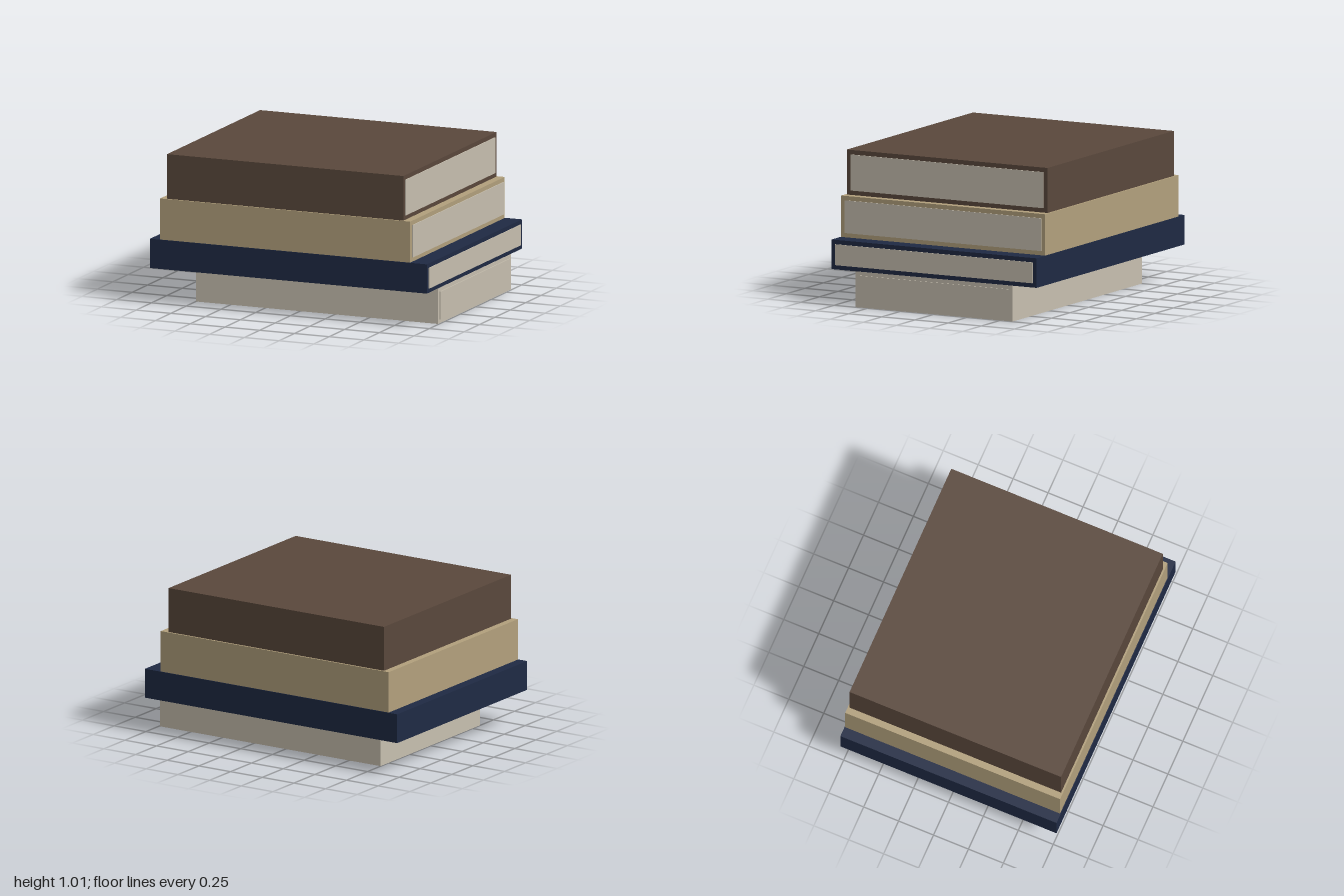
import * as THREE from 'three';

const mat = (name, color) => {
  const m = new THREE.MeshStandardMaterial({ color });
  m.name = name;
  return m;
};

export function createModel() {
  const cream = mat('cream', 0xc8c0b0);
  const navy = mat('navy', 0x1f2a44);
  const tan = mat('tan', 0xb3a17d);
  const brown = mat('brown', 0x5a483c);

  // box from its bounds; depth is centred on z = 0
  const box = (name, material, x0, x1, y0, y1, depth) => {
    const mesh = new THREE.Mesh(new THREE.BoxGeometry(x1 - x0, y1 - y0, depth), material);
    mesh.position.set((x0 + x1) / 2, (y0 + y1) / 2, 0);
    mesh.name = name;
    return mesh;
  };

  // books from bottom to top: cover, left end, right end, bottom, top, depth, border
  const books = [
    ['bottomBook', cream, -0.749, 0.993, 0, 0.239, 1.186, 0.026],
    ['navyBook', navy, -1, 0.992, 0.239, 0.436, 1.547, 0.029],
    ['tanBook', tan, -0.93, 0.87, 0.436, 0.712, 1.538, 0.029],
    ['topBook', brown, -0.885, 0.816, 0.712, 1.012, 1.514, 0.03],
  ];

  const stack = new THREE.Group();
  stack.name = 'bookStack';
  for (const [name, cover, x0, x1, y0, y1, depth, border] of books) {
    const book = new THREE.Group();
    book.name = name;
    book.add(box('cover', cover, x0, x1, y0, y1, depth));
    // page edges, a thin plate on the +x side
    book.add(box('pages', cream, x1 - 0.001, x1 + 0.006, y0 + border, y1 - border, depth - 2 * border));
    stack.add(book);
  }
  return stack;
}
